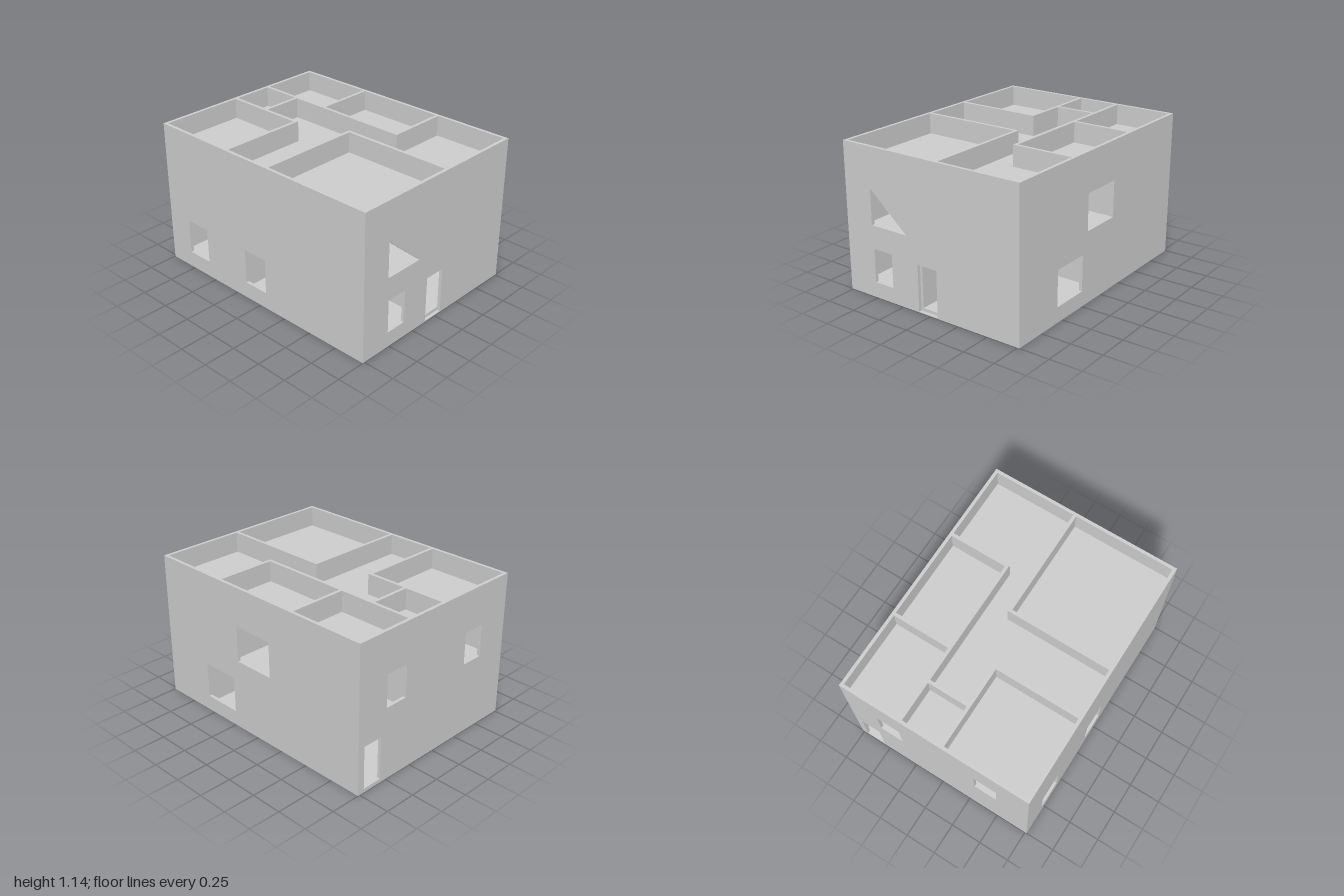
import * as THREE from 'three';

const T = 0.025;                 // wall thickness
const W = 0.765, D = 1, H = 1.145;
const IX = W - T, IZ = D - T;    // inner faces of the outer walls
const material = new THREE.MeshStandardMaterial({ color: 0xcccccc, flatShading: true });

const polygon = (points) => new THREE.Path(points.map(([a, b]) => new THREE.Vector2(a, b)));
const rect = (a0, a1, y0, y1) => polygon([[a0, y0], [a1, y0], [a1, y1], [a0, y1]]);

// Round-headed opening
function arch(center, radius, y0, spring) {
  const p = new THREE.Path();
  p.moveTo(center - radius, y0);
  p.lineTo(center + radius, y0);
  p.lineTo(center + radius, spring);
  p.absarc(center, spring, radius, 0, Math.PI, false);
  p.closePath();
  return p;
}

// Wall along x or z; pos is its lower face on the other axis
function addWall(group, name, axis, pos, [a0, a1], [y0, y1], holes = []) {
  const shape = new THREE.Shape(rect(a0, a1, y0, y1).getPoints());
  shape.holes.push(...holes);
  const geo = new THREE.ExtrudeGeometry(shape, { depth: T, bevelEnabled: false, curveSegments: 32 });
  if (axis === 'x') {
    geo.translate(0, 0, pos);
  } else {
    geo.rotateY(-Math.PI / 2);
    geo.translate(pos + T, 0, 0);
  }
  const mesh = new THREE.Mesh(geo, material);
  mesh.name = name;
  group.add(mesh);
}

function addSlab(group, name, y0, y1) {
  const mesh = new THREE.Mesh(new THREE.BoxGeometry(2 * IX, y1 - y0, 2 * IZ), material);
  mesh.position.y = (y0 + y1) / 2;
  mesh.name = name;
  group.add(mesh);
}

function addStorey(group, name, plan, heights) {
  const storey = new THREE.Group();
  storey.name = name;
  plan.forEach(([axis, pos, span, holes]) => addWall(storey, 'partition', axis, pos, span, heights, holes));
  group.add(storey);
}

export function createModel() {
  const house = new THREE.Group();
  house.name = 'house';

  // Outer walls with windows and doors
  addWall(house, 'frontWall', 'x', IZ, [-W, W], [0, H], [
    rect(-0.515, -0.345, 0.12, 0.38),
    rect(-0.105, 0.065, 0.006, 0.365),
    polygon([[-0.525, 0.56], [-0.2, 0.56], [-0.525, 0.835]]),
  ]);
  addWall(house, 'backWall', 'x', -D, [-W, W], [0, H], [
    rect(0.55, 0.71, 0.03, 0.365),
    rect(0.31, 0.5, 0.57, 0.825),
    rect(-0.5, -0.315, 0.575, 0.825),
  ]);
  addWall(house, 'windowSideWall', 'z', IX, [-IZ, IZ], [0, H], [
    rect(0.25, 0.56, 0.12, 0.4),
    rect(-0.145, 0.195, 0.56, 0.84),
  ]);
  addWall(house, 'plainSideWall', 'z', -W, [-IZ, IZ], [0, H], [
    rect(-0.785, -0.57, 0.13, 0.405),
    rect(-0.15, 0.06, 0.13, 0.405),
  ]);

  // Floors
  addSlab(house, 'groundFloor', 0.004, 0.03);
  addSlab(house, 'upperFloor', 0.445, 0.47);
  addSlab(house, 'roofFloor', 0.96, 0.985);

  // Ground storey partitions with doorways
  const door = (a) => [rect(a, a + 0.17, 0.031, 0.37)];
  addStorey(house, 'groundStorey', [
    ['x', -0.05, [0.2, IX]],
    ['x', 0.6, [0.2, IX]],
    ['z', 0.2, [-0.05 + T, 0.6], door(0.145)],
    ['x', -0.24, [-IX, -0.055], door(-0.3)],
    ['z', -0.08, [-IZ, -0.24]],
    ['x', 0.32, [-IX, -0.085], door(-0.35)],
    ['z', -0.11, [0.32 + T, IZ]],
  ], [0.03, 0.445]);

  // Room plan of the levels above; the three main walls can take an arch
  const plan = (bigArch) => [
    ['x', -0.33, [-IX, -0.055], bigArch(-0.35)],
    ['x', 0.08, [-IX, 0.085], bigArch(-0.35)],
    ['x', -0.66, [-0.055, 0.26]],
    ['x', -0.375, [0.285, IX]],
    ['x', 0.36, [0.285, IX]],
    ['z', -0.08, [-IZ, -0.33]],
    ['z', 0.06, [0.105, IZ]],
    ['z', 0.26, [-IZ, 0.385], bigArch(0.05)],
  ];
  addStorey(house, 'upperStorey', plan((c) => [arch(c, 0.3, 0.471, 0.52)]), [0.47, 0.96]);
  addStorey(house, 'openTopStorey', plan(() => []), [0.985, H]);

  return house;
}
